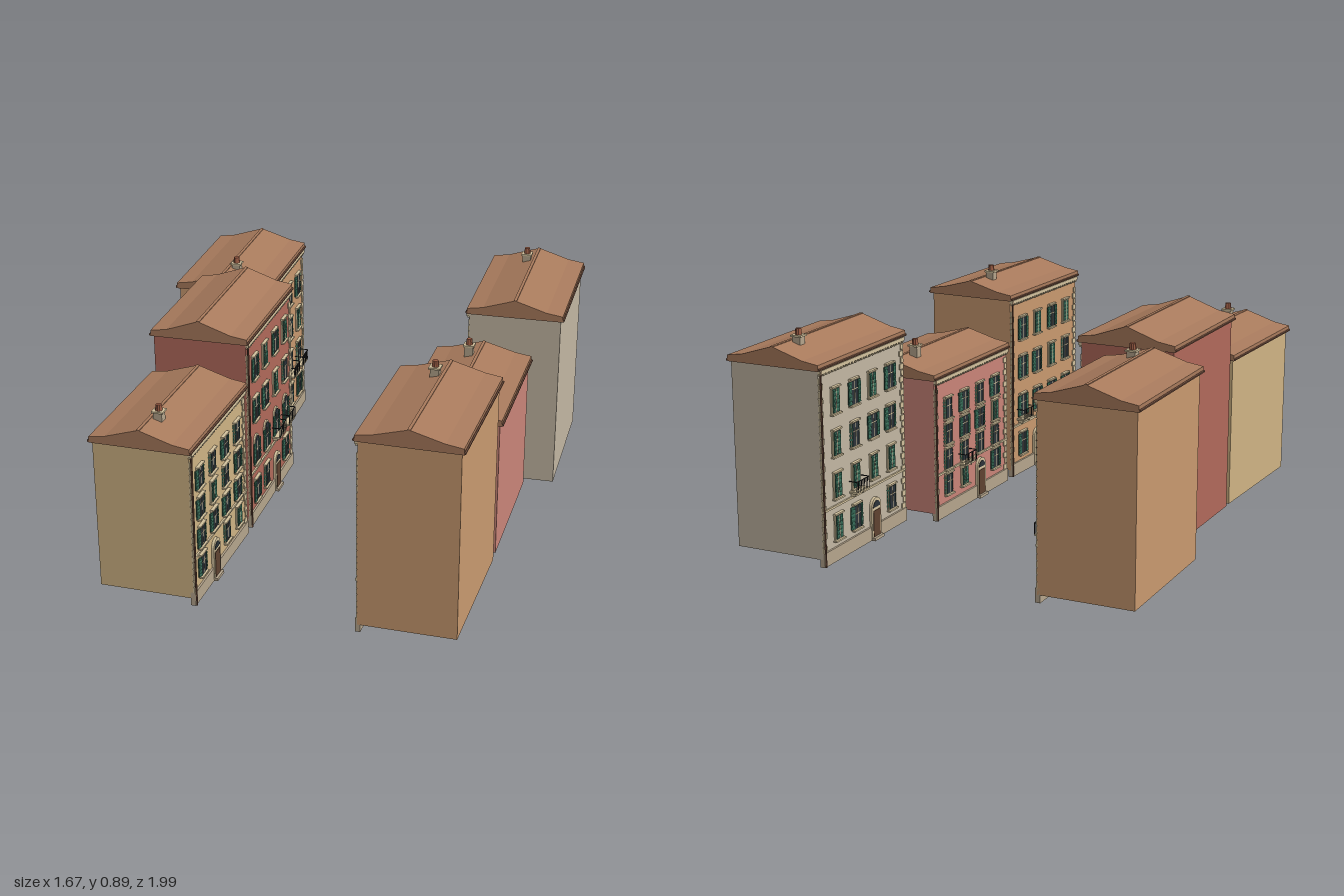
import * as THREE from 'three';

const mat = (color, side = THREE.FrontSide) => new THREE.MeshStandardMaterial({ color, side, flatShading: true });
const M = {
  roof: mat(0xa87a5c), trim: mat(0xd2c19c), green: mat(0x2f5f4d), slat: mat(0x3d7560), glass: mat(0x2b3238),
  iron: mat(0x26282a), wood: mat(0x5e4230), pipe: mat(0x6b4a3a), pot: mat(0x9a5c44), stone: mat(0xb5a58c),
};
const HALF_W = 0.187; // facade plane (local +x) of every house
const COLS = [-0.2, -0.067, 0.067, 0.2];

function add(parent, name, geo, material, x, y, z) {
  const m = new THREE.Mesh(geo, material);
  m.name = name;
  m.position.set(x, y, z);
  parent.add(m);
  return m;
}
const box = (parent, name, material, sx, sy, sz, x, y, z) =>
  add(parent, name, new THREE.BoxGeometry(sx, sy, sz), material, x, y, z);

// Half disc facing +x, used above arched openings
function arch(parent, name, material, r, depth, x, y, z) {
  const g = new THREE.CylinderGeometry(r, r, depth, 12, 1, false, 0, Math.PI);
  g.rotateX(-Math.PI / 2).rotateZ(Math.PI / 2).rotateY(Math.PI / 2);
  g.computeBoundingBox();
  return add(parent, name, g, material, x, y, z);
}

// Louvred shutter hinged at z = 0, swung away from the wall by angle
function shutter(parent, side, w, h, y, z, angle) {
  const s = new THREE.Group();
  s.name = 'shutter';
  s.position.set(HALF_W + 0.008, y, z);
  s.rotation.y = -side * angle;
  box(s, 'shutterPanel', M.green, 0.004, h, w, 0, 0, side * w / 2);
  for (let i = 0; i < 5; i++)
    box(s, 'shutterSlat', M.slat, 0.007, h * 0.08, w * 0.72, 0, (i - 2) * h * 0.18, side * w / 2);
  parent.add(s);
}

function windowUnit(parent, y, z, h, state, arched) {
  const g = new THREE.Group();
  g.name = 'window';
  const w = 0.044, x = HALF_W;
  box(g, 'windowSurround', M.trim, 0.008, h + 0.014, w + 0.014, x + 0.002, y, z);
  box(g, 'windowGlass', M.glass, 0.01, h, w, x + 0.003, y, z);
  box(g, 'windowMullion', M.trim, 0.012, h, 0.003, x + 0.003, y, z);
  box(g, 'windowTransom', M.trim, 0.012, 0.003, w, x + 0.003, y + h * 0.15, z);
  box(g, 'windowSill', M.trim, 0.018, 0.006, w + 0.024, x + 0.006, y - h / 2 - 0.006, z);
  if (arched) {
    arch(g, 'archSurround', M.trim, w / 2 + 0.008, 0.008, x + 0.003, y + h / 2, z);
    arch(g, 'archGlass', M.glass, w / 2, 0.01, x + 0.004, y + h / 2, z);
  } else box(g, 'windowLintel', M.trim, 0.016, 0.006, w + 0.02, x + 0.005, y + h / 2 + 0.008, z);
  // shutters: flat against the wall, ajar, or closed
  const angle = [0.06, 0.9, Math.PI - 0.12, 0.25][state];
  for (const s of [-1, 1]) shutter(g, s, w / 2, h, y, z + s * w / 2, angle);
  parent.add(g);
}

function door(parent, z) {
  const g = new THREE.Group(), x = HALF_W;
  g.name = 'door';
  box(g, 'doorSurround', M.trim, 0.014, 0.13, 0.07, x + 0.004, 0.068, z);
  box(g, 'doorLeaf', M.wood, 0.018, 0.115, 0.05, x + 0.004, 0.06, z);
  arch(g, 'doorArch', M.trim, 0.035, 0.014, x + 0.004, 0.133, z);
  arch(g, 'doorFanlight', M.glass, 0.025, 0.018, x + 0.004, 0.13, z);
  box(g, 'doorStep', M.stone, 0.03, 0.012, 0.07, x + 0.008, 0.006, z);
  parent.add(g);
}

function balcony(parent, y, z) {
  const g = new THREE.Group(), d = 0.034, w = 0.09, x = HALF_W;
  g.name = 'balcony';
  box(g, 'balconySlab', M.trim, d, 0.008, w, x + d / 2, y, z);
  for (const s of [-1, 1]) {
    box(g, 'balconyBracket', M.trim, 0.02, 0.014, 0.008, x + 0.01, y - 0.011, z + s * 0.03);
    box(g, 'sideRail', M.iron, d, 0.003, 0.003, x + d / 2, y + 0.045, z + s * w / 2);
  }
  box(g, 'frontRail', M.iron, 0.003, 0.003, w, x + d, y + 0.045, z);
  for (let i = 0; i <= 8; i++)
    box(g, 'baluster', M.iron, 0.002, 0.045, 0.002, x + d, y + 0.024, z + (i / 8 - 0.5) * w);
  parent.add(g);
}

// Solid gabled roof with a flatter kick at the eaves
function roof(parent, eave, ridge, len) {
  const s = new THREE.Shape([[-0.196, 0], [0.196, 0], [0.196, 0.024], [0.13, 0.034], [0, ridge - eave],
    [-0.13, 0.034], [-0.196, 0.024]].map(p => new THREE.Vector2(...p)));
  const g = new THREE.ExtrudeGeometry(s, { depth: len, bevelEnabled: false });
  add(parent, 'roof', g, M.roof, 0, eave, -len / 2);
  box(parent, 'ridgeCap', M.roof, 0.012, 0.004, len, 0, ridge - 0.001, 0);
}

function house(o) {
  const h = new THREE.Group();
  h.name = o.name;
  h.position.set(o.x, 0, o.z);
  h.rotation.y = (o.x > 0 ? Math.PI : 0) - o.tilt;
  const len = o.len, bl = len - 0.022, top = o.eave, wall = mat(o.color);
  box(h, 'walls', wall, HALF_W * 2, top - 0.03, bl, 0, 0.03 + (top - 0.03) / 2, 0);
  roof(h, top, o.ridge, len);

  // Facade trim
  box(h, 'plinth', M.stone, 0.02, 0.055, bl, HALF_W - 0.002, 0.0275, 0);
  box(h, 'cornice', M.trim, 0.016, 0.014, bl, HALF_W + 0.004, top - 0.007, 0);
  for (let i = 0; i < 30; i++)
    box(h, 'dentil', M.trim, 0.012, 0.009, 0.009, HALF_W + 0.004, top - 0.018, ((i + 0.5) / 30 - 0.5) * bl);
  for (const s of [-1, 1]) {
    for (let y = 0.065, i = 0; y < top - 0.035; y += 0.026, i++)
      box(h, 'quoin', M.trim, 0.006, 0.022, i % 2 ? 0.018 : 0.028, HALF_W + 0.001, y, s * (bl / 2 - (i % 2 ? 0.009 : 0.014)));
    add(h, 'gutter', new THREE.CylinderGeometry(0.005, 0.005, len, 6).rotateX(Math.PI / 2), M.pipe, s * 0.198, top + 0.006, 0);
  }
  add(h, 'drainpipe', new THREE.CylinderGeometry(0.004, 0.004, top, 6), M.pipe, HALF_W + 0.009, top / 2, bl / 2 - 0.006);

  // Four floors of windows, one door and balconies on the second level
  const low = 0.13, step = (top - 0.135 - low) / 3, wh = top > 0.7 ? 0.09 : 0.078;
  for (let f = 0; f < 4; f++) {
    const y = low + f * step;
    if (f === 1) box(h, 'stringCourse', M.trim, 0.01, 0.008, bl, HALF_W + 0.002, y - step / 2 + 0.003, 0);
    COLS.forEach((z, c) => {
      if (f === 0 && c === o.door) return door(h, z);
      const arched = !!o.arched && f === 1;
      windowUnit(h, arched ? y - 0.01 : y, z, wh, (c * 3 + f * 5 + o.seed * 7 + c * f) % 4, arched);
      if (f === 1 && o.balconies.includes(c)) balcony(h, y - wh / 2 - 0.012, z);
    });
  }

  // Chimney with a clay pot
  if (o.chimney) {
    const [cx, cz, ct] = o.chimney;
    const p = new THREE.Vector3(cx - o.x, 0, cz - o.z).applyAxisAngle(new THREE.Vector3(0, 1, 0), -h.rotation.y);
    const c = new THREE.Group();
    c.name = 'chimney';
    c.position.set(p.x, ct, p.z);
    box(c, 'chimneyStack', M.stone, 0.034, 0.06, 0.034, 0, -0.055, 0);
    box(c, 'chimneyCap', M.trim, 0.044, 0.007, 0.044, 0, -0.027, 0);
    add(c, 'chimneyPot', new THREE.CylinderGeometry(0.011, 0.014, 0.025, 10), M.pot, 0, -0.0125, 0);
    h.add(c);
  }
  return h;
}

export function createModel() {
  const g = new THREE.Group();
  g.name = 'streetOfHouses';
  const houses = [
    { name: 'rightBackHouse', x: -0.625, z: -0.69, tilt: 0.03, len: 0.61, eave: 0.745, ridge: 0.82, color: 0xc8996f, door: 2, balconies: [0, 1], chimney: [-0.6, -0.51, 0.86] },
    { name: 'rightMiddleHouse', x: -0.527, z: -0.042, tilt: 0.045, len: 0.62, eave: 0.8, ridge: 0.88, color: 0xb0695a, door: 1, balconies: [0, 1], arched: true },
    { name: 'rightFrontHouse', x: -0.563, z: 0.59, tilt: 0.075, len: 0.615, eave: 0.63, ridge: 0.705, color: 0xcfb384, door: 2, balconies: [], chimney: [-0.546, 0.766, 0.755] },
    { name: 'leftBackHouse', x: 0.621, z: -0.655, tilt: 0.03, len: 0.643, eave: 0.755, ridge: 0.83, color: 0xc2b6a2, door: 1, balconies: [2], chimney: [0.594, -0.844, 0.875] },
    { name: 'leftMiddleHouse', x: 0.478, z: -0.002, tilt: 0.047, len: 0.64, eave: 0.58, ridge: 0.65, color: 0xc98478, door: 1, balconies: [2], chimney: [0.451, -0.19, 0.71] },
    { name: 'leftFrontHouse', x: 0.442, z: 0.66, tilt: 0.07, len: 0.63, eave: 0.775, ridge: 0.845, color: 0xc8996f, door: 2, balconies: [3], chimney: [0.425, 0.475, 0.895] },
  ];
  houses.forEach((o, i) => g.add(house({ ...o, seed: i })));
  return g;
}
